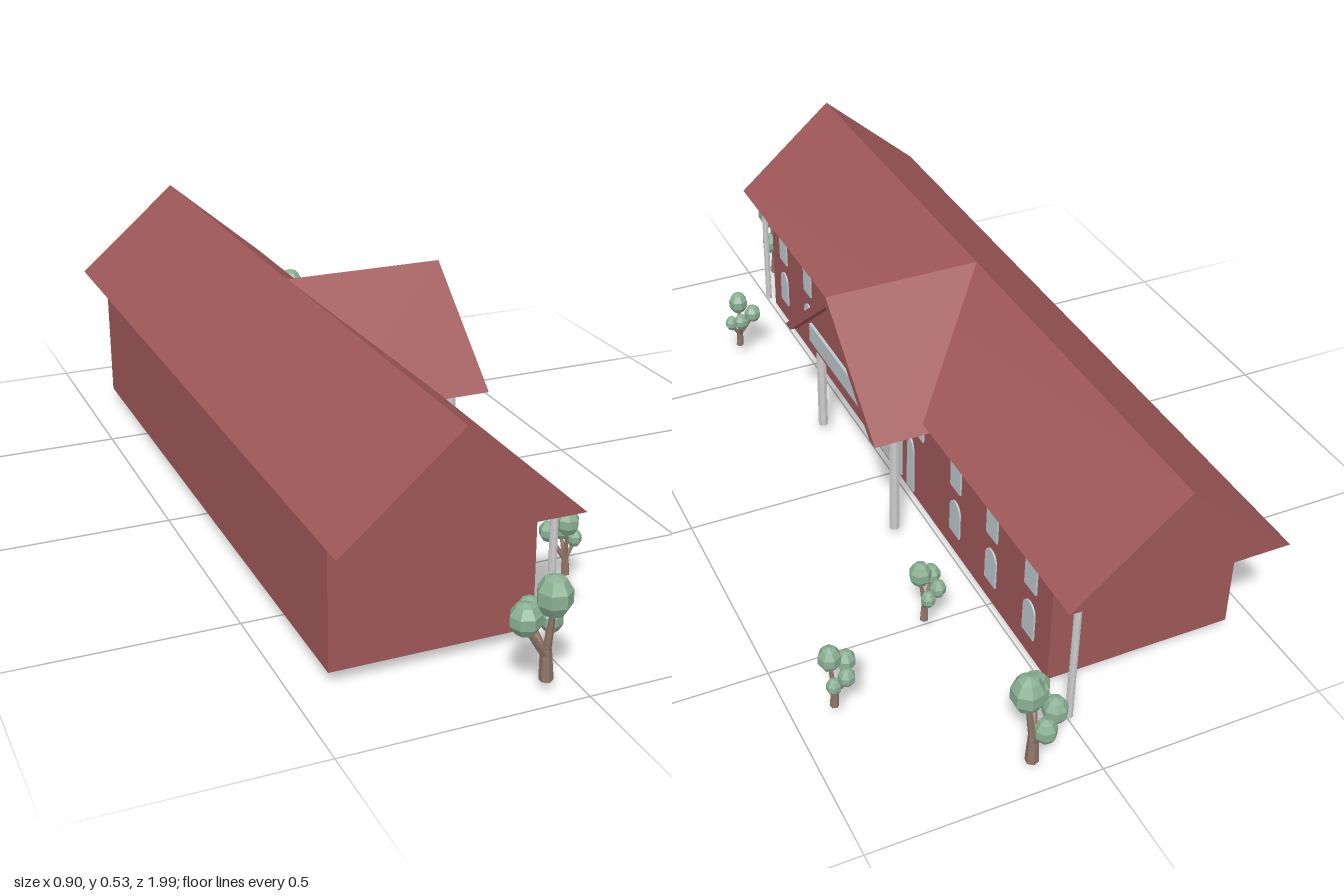
import * as THREE from 'three';

const paint = (color, extra = {}) => new THREE.MeshStandardMaterial({ color, ...extra });
const brick = paint(0xa05858);
const glass = paint(0xbcc8cc);
const grey = paint(0xcccccc, { flatShading: true });
const bark = paint(0x8f7566, { flatShading: true });
const leaf = paint(0x8ab093, { flatShading: true });

const MID = 0.005; // z of the building's centre line
const WALL = 0.0; // x of the facade

function add(parent, name, geometry, material, x = 0, y = 0, z = 0) {
  const mesh = new THREE.Mesh(geometry, material);
  mesh.name = name;
  mesh.position.set(x, y, z);
  parent.add(mesh);
  return mesh;
}

const polygon = (pts) => new THREE.Shape(pts.map(([x, y]) => new THREE.Vector2(x, y)));
const extrude = (shape, depth) =>
  new THREE.ExtrudeGeometry(shape, { depth, bevelEnabled: false, curveSegments: 8 });
// Extrudes an outline lying in the (-z, y) plane along +x
const extrudeX = (shape, depth) => extrude(shape, depth).rotateY(Math.PI / 2);

// Opening outline: straight jambs and an elliptical head of the given rise
function archShape(w, h, rise) {
  const s = new THREE.Shape();
  s.moveTo(-w / 2, 0);
  s.lineTo(w / 2, 0);
  s.lineTo(w / 2, h - rise);
  s.absellipse(0, h - rise, w / 2, rise, 0, Math.PI, false);
  s.closePath();
  return s;
}

function limb(parent, name, a, b, r0, r1) {
  const from = new THREE.Vector3(...a);
  const to = new THREE.Vector3(...b);
  const dir = to.clone().sub(from);
  const mesh = add(parent, name, new THREE.CylinderGeometry(r1, r0, dir.length(), 6), bark);
  mesh.position.copy(from).addScaledVector(dir, 0.5);
  mesh.quaternion.setFromUnitVectors(new THREE.Vector3(0, 1, 0), dir.normalize());
}

function makeTree() {
  const tree = new THREE.Group();
  tree.name = 'tree';
  limb(tree, 'trunk', [0, 0, 0], [-0.003, 0.065, 0], 0.014, 0.011);
  // Foliage clumps: x, y, z, radius, half height
  const clumps = [
    [0.002, 0.18, 0.015, 0.036, 0.043],
    [-0.053, 0.142, 0.01, 0.032, 0.034],
    [-0.02, 0.128, -0.035, 0.027, 0.031],
    [0.02, 0.11, -0.025, 0.024, 0.029],
  ];
  clumps.forEach(([x, y, z, r, h], i) => {
    limb(tree, 'branch', [-0.003, 0.05, 0], [x, y - h * 0.5, z], 0.009, 0.005);
    const clump = add(tree, 'foliage', new THREE.SphereGeometry(1, 7, 5), leaf, x, y, z);
    clump.scale.set(r, h, r);
    clump.rotation.y = i * 0.8;
  });
  return tree;
}

export function createModel() {
  const model = new THREE.Group();
  model.name = 'schoolhouse';

  // Main block and solid gable roof
  add(model, 'walls', new THREE.BoxGeometry(0.425, 0.295, 1.55), brick, -0.2125, 0.1745, MID);
  const gable = polygon([[-0.455, 0.32], [0.035, 0.32], [-0.21, 0.53]]);
  add(model, 'mainRoof', extrude(gable, 1.79), brick, 0, 0, -0.89);

  // Porch roof: an inverted V running back into the main ridge
  const porch = polygon([
    [-0.265, 0.305], [0, 0.53], [0.265, 0.305], [0.235, 0.305], [0, 0.505], [-0.235, 0.305],
  ]);
  add(model, 'porchRoof', extrudeX(porch, 0.365), brick, -0.21, 0, MID);

  // Recessed pediment with a blank sign board
  const pediment = polygon([[-0.236, 0.306], [0.236, 0.306], [0, 0.507]]);
  add(model, 'pediment', extrudeX(pediment, 0.133), brick, WALL, 0, MID);
  add(model, 'signBoard', new THREE.BoxGeometry(0.008, 0.046, 0.295), glass, 0.136, 0.348, MID);

  // Porch columns and the slim posts under the roof ends
  for (const side of [-1, 1]) {
    add(model, 'porchColumn', new THREE.CylinderGeometry(0.012, 0.012, 0.295, 8), grey,
      0.087, 0.1725, MID + side * 0.214);
    add(model, 'cornerPost', new THREE.CylinderGeometry(0.008, 0.008, 0.325, 8), grey,
      -0.006, 0.1625, side * 0.853);
  }

  // Arched openings on the facade
  const opening = (name, z, y, w, h, rise) =>
    add(model, name, extrudeX(archShape(w, h, rise), 0.004), glass, WALL, y, MID + z);
  opening('mainDoor', 0, 0.037, 0.13, 0.21, 0.06);
  for (const side of [-1, 1]) {
    opening('sideDoor', side * 0.115, 0.037, 0.034, 0.143, 0.04);
    opening('wideWindow', side * 0.142, 0.214, 0.08, 0.085, 0.022);
    for (const z of [0.348, 0.52, 0.69])
      for (const y of [0.08, 0.203]) opening('window', side * z, y, 0.048, 0.089, 0.026);
  }

  // Trees: x, y, z, scale, turn
  const trees = [
    [-0.062, 0.02, 0.945, 1, 0],
    [0.125, 0.02, -0.94, 1, 0.9],
    [0.42, 0.032, -0.665, 0.68, 0.3],
    [0.155, 0.032, -0.515, 0.68, 0.6],
    [0.16, 0.032, 0.62, 0.68, -0.6],
  ];
  for (const [x, y, z, scale, turn] of trees) {
    const tree = makeTree();
    tree.position.set(x, y, z);
    tree.scale.setScalar(scale);
    tree.rotation.y = turn;
    model.add(tree);
  }
  return model;
}
